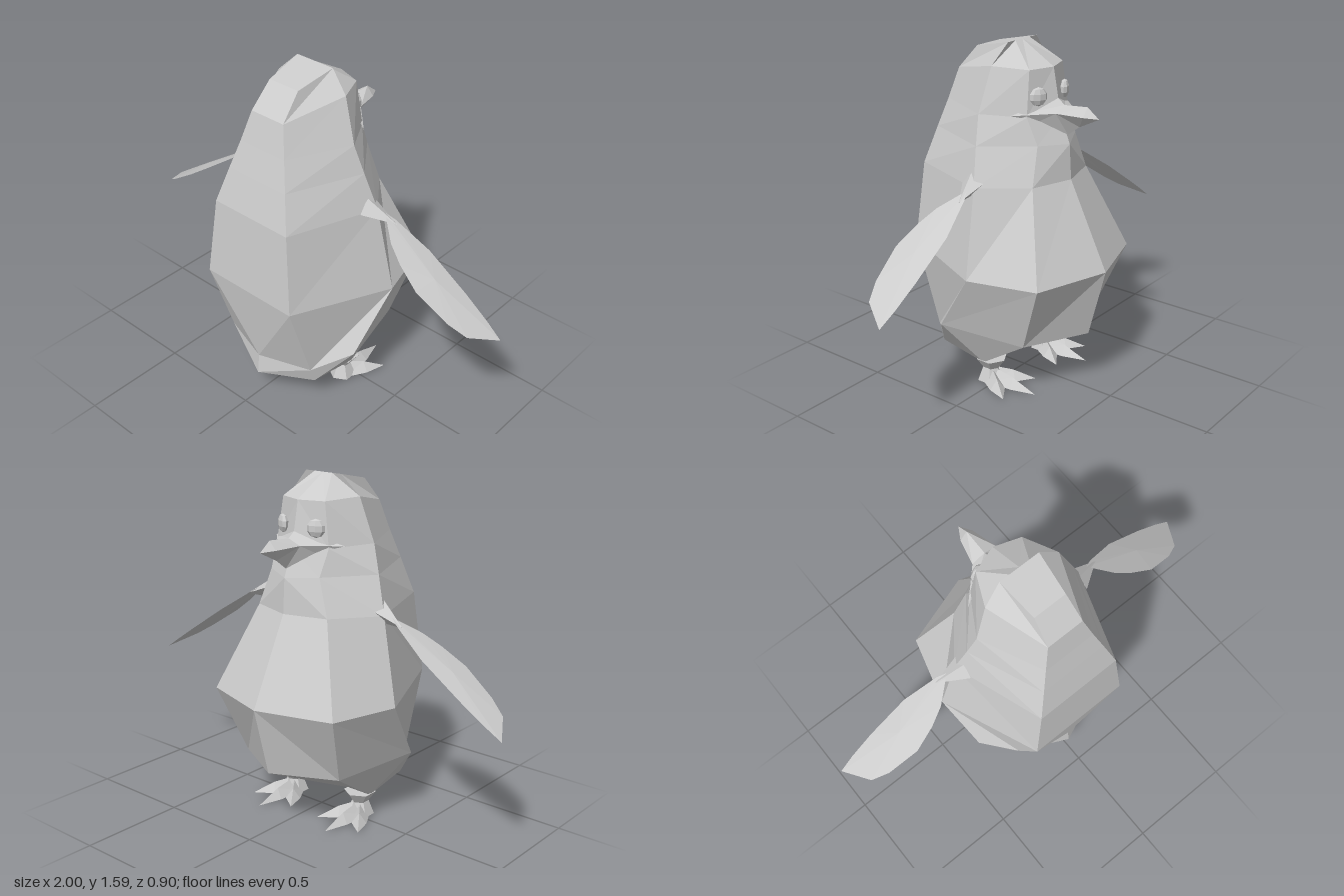
import * as THREE from 'three';

const material = new THREE.MeshStandardMaterial({ color: 0xcccccc, flatShading: true, side: THREE.DoubleSide });

const addMesh = (parent, name, geometry) => {
  const mesh = new THREE.Mesh(geometry, material);
  mesh.name = name;
  parent.add(mesh);
  return mesh;
};

// Faceted geometry from a list of triangles, each made of three [x, y, z] points
function facets(triangles) {
  const g = new THREE.BufferGeometry();
  g.setAttribute('position', new THREE.Float32BufferAttribute(triangles.flat(2), 3));
  g.computeVertexNormals();
  return g;
}

const flip = ([x, y, z]) => [-x, y, z];
// Mirrors a triangle across x = 0, keeping its face outward
const mirrorTriangle = ([a, b, c]) => [flip(a), flip(c), flip(b)];

// Half cross-sections, each from the middle of the back round to the middle of the chest
function bodyGeometry() {
  const halves = [
    [[0, .12, .41], [.25, .14, .29], [.26, .105, .04], [.13, .105, .04], [0, .105, .04]],
    [[0, .22, .4], [.25, .22, .317], [.39, .31, .18], [.28, .27, -.21], [0, .28, -.37]],
    [[0, .62, .45], [.25, .62, .45], [.44, .6, -.02], [.35, .6, -.34], [0, .605, -.455]],
    [[0, 1, .42], [.21, 1, .42], [.355, 1, 0], [.2, 1, -.2], [0, 1, -.26]],
    [[0, 1.17, .373], [.163, 1.17, .373], [.3, 1.17, .03], [.14, 1.17, -.18], [0, 1.16, -.25]],
    [[0, 1.3, .336], [.126, 1.3, .336], [.257, 1.3, .05], [.15, 1.29, -.13], [0, 1.28, -.2]],
    [[0, 1.44, .3], [.09, 1.44, .3], [.19, 1.5, .03], [.12, 1.49, -.12], [0, 1.49, -.16]],
    [[0, 1.55, .2], [.08, 1.55, .2], [.1, 1.59, .01], [.05, 1.59, .01], [0, 1.59, .01]],
  ];
  const triangles = [];
  const add = (a, b, c) => triangles.push([a, b, c], mirrorTriangle([a, b, c]));
  for (let r = 0; r < halves.length - 1; r++) {
    const low = halves[r], high = halves[r + 1];
    for (let i = 0; i < 4; i++) {
      add(low[i], low[i + 1], high[i + 1]);
      add(low[i], high[i + 1], high[i]);
    }
  }
  // Close the underside and the crown
  const base = halves[0], crown = halves[halves.length - 1];
  for (let i = 1; i < 4; i++) {
    add(base[0], base[i + 1], base[i]);
    add(crown[0], crown[i], crown[i + 1]);
  }
  return facets(triangles);
}

// Beak with a wide upper lip that runs back along the cheeks
function beakGeometry() {
  const corner = [.2, 1.3, -.08], cheek = [.1, 1.27, -.16], side = [.065, 1.305, -.22], nearTip = [.035, 1.3, -.34];
  const brow = [0, 1.36, -.18], bridge = [0, 1.33, -.22], ridge = [0, 1.34, -.34], tip = [0, 1.295, -.4];
  const chin = [0, 1.2, -.24], jaw = [0, 1.245, -.3];
  const half = [
    [corner, bridge, brow], [corner, side, bridge], [side, ridge, bridge], [side, nearTip, ridge], [nearTip, tip, ridge],
    [corner, cheek, side], [cheek, chin, side], [side, chin, jaw], [side, jaw, nearTip], [nearTip, jaw, tip],
  ];
  return facets([...half, ...half.map(mirrorTriangle)]);
}

// Thin flipper blade sloping down and outward, slightly swollen in the middle
function wingGeometry() {
  const slope = x => 1 - (x - .4) * .67;
  const outline = [[.4, 0], [.44, -.02], [.6, -.06], [.8, -.065], [.92, -.06], [1, -.05],
    [.92, .085], [.84, .122], [.69, .147], [.58, .12], [.5, .085], [.42, .02]].map(([x, z]) => [x, slope(x), z]);
  const top = [.7, slope(.7) + .012, .03], under = [.7, slope(.7) - .012, .03];
  return facets(outline.flatMap((a, i) => {
    const b = outline[(i + 1) % outline.length];
    return [[b, a, top], [a, b, under]];
  }));
}

// Small wedge joining the flipper to the body
function shoulderGeometry() {
  const tip = [.46, .965, -.005];
  const root = [[.325, 1.06, .035], [.33, 1, .085], [.35, .96, .02], [.32, 1.02, -.03]];
  return facets(root.map((a, i) => [a, root[(i + 1) % 4], tip]));
}

// Pointed toe with a raised ridge
function toeGeometry(length) {
  const left = [.045, 0, 0], right = [-.045, 0, 0], top = [0, .065, 0], tip = [0, 0, -length];
  const knuckle = [0, .045, -length * .5], l = [.035, 0, -length * .55], r = [-.035, 0, -length * .55];
  return facets([
    [left, l, knuckle], [left, knuckle, top], [l, tip, knuckle],
    [r, right, knuckle], [right, top, knuckle], [tip, r, knuckle],
    [left, right, r], [left, r, l], [l, r, tip], [left, top, right],
  ]);
}

function makeFoot() {
  const foot = new THREE.Group();
  foot.name = 'foot';
  addMesh(foot, 'ankle', new THREE.CylinderGeometry(.075, .038, .05, 6)).position.set(0, .09, .035);
  addMesh(foot, 'heel', new THREE.CylinderGeometry(.038, .065, .068, 6)).position.set(0, .034, .04);
  [[-.62, .21], [0, .26], [.62, .21]].forEach(([angle, length]) => {
    const toe = addMesh(foot, 'toe', toeGeometry(length));
    toe.position.z = .04;
    toe.rotation.y = angle;
  });
  return foot;
}

export function createModel() {
  const model = new THREE.Group();
  model.name = 'penguin';
  addMesh(model, 'body', bodyGeometry());
  addMesh(model, 'beak', beakGeometry());

  // Paired parts, mirrored left and right
  for (const side of [1, -1]) {
    const half = new THREE.Group();
    half.name = side > 0 ? 'leftSide' : 'rightSide';
    half.scale.x = side;
    addMesh(half, 'wing', wingGeometry());
    addMesh(half, 'shoulder', shoulderGeometry());
    const eye = addMesh(half, 'eye', new THREE.SphereGeometry(.042, 8, 5));
    eye.position.set(.095, 1.375, -.15);
    eye.rotation.y = -.5;
    eye.scale.z = .5;
    const foot = makeFoot();
    foot.position.x = .205;
    half.add(foot);
    model.add(half);
  }
  return model;
}
